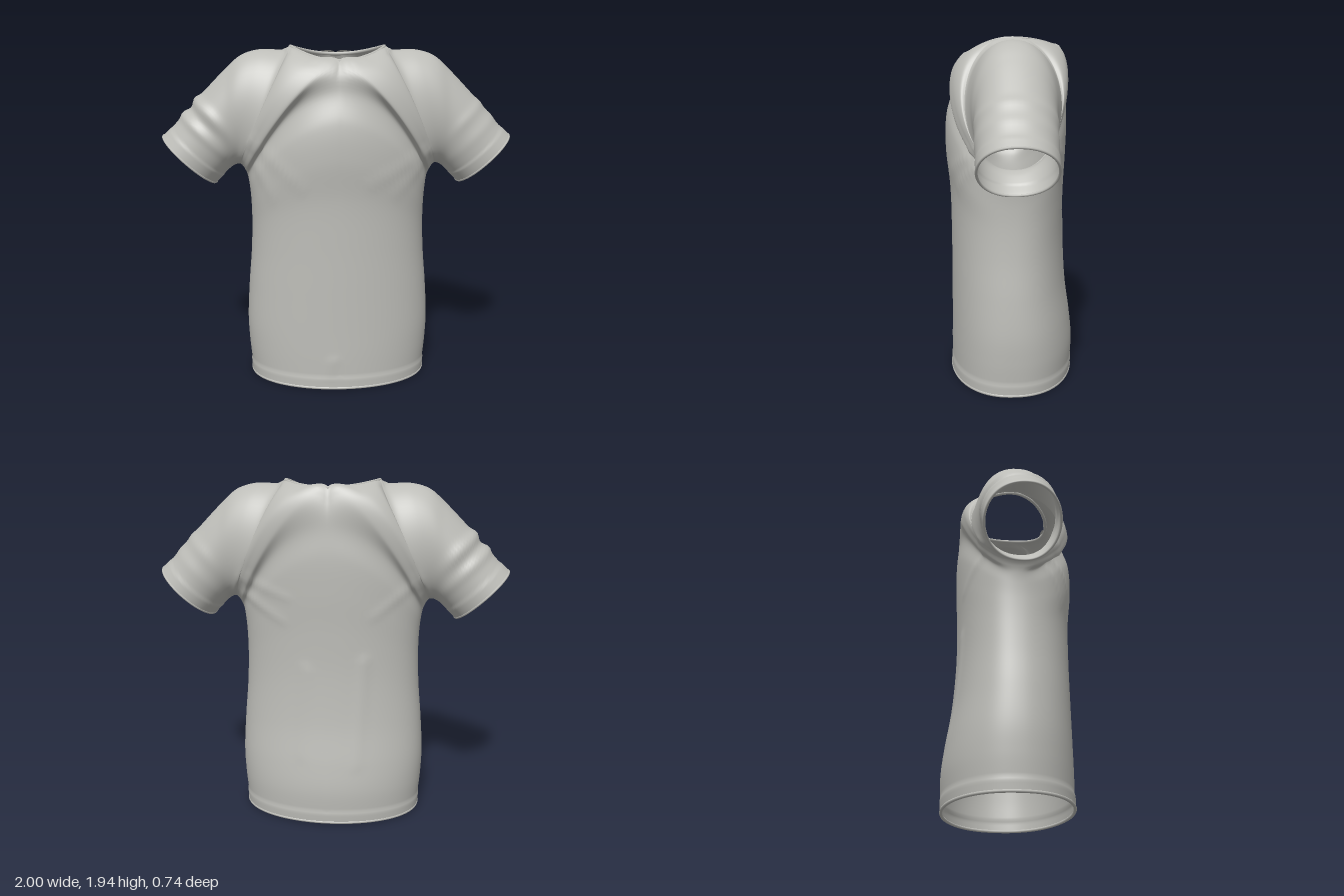
import * as THREE from 'three';
import { mergeVertices } from 'three/addons/utils/BufferGeometryUtils.js';

const STEPS = 8, COLS = 28;

// Torso rows: half width, side height, centre height, front depth, back depth
const TORSO = [
  [.52, .01, .01, .35, .36], [.525, .07, .07, .35, .365], [.537, .2, .2, .35, .37],
  [.542, .35, .35, .348, .355], [.53, .55, .58, .346, .322], [.512, .75, .85, .345, .305],
  [.504, .92, 1.1, .35, .307], [.505, 1.05, 1.33, .372, .318], [.512, 1.14, 1.52, .365, .322],
  [.522, 1.2, 1.7, .318, .312],
];
// Yoke rows: armpit x and y, front depth, back depth, angle round the neck
const YOKE = [
  [.534, 1.235, .335, .31, 0], [.547, 1.256, .31, .295, 30],
  [.558, 1.267, .275, .27, 60], [.567, 1.27, .25, .255, 90],
];
// Sleeve rows: underside x and y, top x and y, front depth, back depth
const SLEEVE = [
  [.567, 1.27, .265, 1.93, .25, .255], [.573, 1.27, .31, 1.912, .24, .25],
  [.585, 1.267, .43, 1.915, .222, .235], [.6, 1.26, .54, 1.885, .21, .222],
  [.615, 1.25, .63, 1.81, .2, .215], [.635, 1.232, .74, 1.7, .197, .212],
  [.66, 1.208, .84, 1.595, .195, .21], [.69, 1.18, .935, 1.49, .19, .207],
  [.706, 1.163, .994, 1.433, .187, .205],
];

// Neck edge: a = 0 at the centre, PI/2 at the shoulder
function neckPoint(a, front) {
  const low = front ? 1.85 : 1.89;
  return [.265 * Math.sin(a), low + (1.93 - low) * Math.sin(a) ** 2, (front ? .24 : .26) * Math.cos(a)];
}

// Rows as [side x, side y, end x, end y, depth, sweep angle]
function bodyKeys(front) {
  const k = front ? 0 : 1;
  const torso = TORSO.map(r => [r[0], r[1], 0, r[2], r[3 + k], Math.PI / 2]);
  const yoke = YOKE.map(r => {
    const [x, y, z] = neckPoint(r[4] * Math.PI / 180, front), d = r[2 + k];
    const ratio = Math.max(0, z / d);
    return [r[0], r[1], x, y, d, Math.PI - Math.asin(ratio < 1e-9 ? 0 : ratio ** (1 / .9))];
  });
  return [...torso, ...yoke];
}
function sleeveKeys(front) {
  return SLEEVE.map(r => [r[0], r[1], r[2], r[3], r[front ? 4 : 5], Math.PI]);
}

// Smooth rows between the key rows
function splineRows(keys) {
  const rows = [], last = keys.length - 1;
  for (let n = 0; n <= last * STEPS; n++) {
    const i = Math.min(Math.floor(n / STEPS), last - 1), t = n / STEPS - i;
    const b = keys[i], c = keys[i + 1], a = keys[i - 1] ?? b, d = keys[i + 2] ?? c;
    rows.push(b.map((p, q) => p + .5 * t * (c[q] - a[q] + t * (2 * a[q] - 5 * p + 4 * c[q] - d[q]
      + t * (3 * (p - c[q]) + d[q] - a[q])))));
  }
  return rows;
}
function allRows(front) {
  return [...splineRows(bodyKeys(front)), ...splineRows(sleeveKeys(front)).slice(1)];
}

// Point on a row: v = 0 at the side seam, 1 at the centre, neck or sleeve top
function rowPoint([ax, ay, bx, by, depth, sweep], v, front) {
  const phi = Math.min(sweep, Math.PI);
  const t = (1 - Math.cos(phi * v)) / (1 - Math.cos(phi));
  const e = 1 + Math.max(0, Math.PI - phi) / (Math.PI / 2);
  const z = depth * Math.max(0, Math.sin(phi * v)) ** .9;
  const drop = Math.max(0, 1 - t) ** e;
  return new THREE.Vector3(Math.max(0, ax + (bx - ax) * t), by - (by - ay) * drop, front ? z : -z);
}
// Whole row, from the front round the side seam to the back
function rowLoop(frontRow, backRow) {
  const pts = [];
  for (let j = -COLS; j <= COLS; j++) {
    pts.push(rowPoint(j <= 0 ? frontRow : backRow, Math.abs(j) / COLS, j <= 0));
  }
  return pts;
}

const step = (x, a, b) => THREE.MathUtils.smoothstep(x, a, b);
const bump = (x, w) => Math.exp(-(x * x) / (w * w));

// Cloth creases: start x, y, end x, y, width, height, face (1 front, -1 back)
const CREASES = [
  [.5, 1.36, .16, 1.19, .022, .009, 1], [.48, 1.3, .3, 1.13, .02, .008, 1],
  [-.48, 1.42, -.2, 1.17, .022, .009, 1], [-.46, 1.28, -.36, 1.1, .02, .006, 1],
  [.5, 1.4, .22, 1.3, .022, .008, -1], [.48, 1.3, .25, 1.17, .022, .008, -1],
  [-.5, 1.4, -.25, 1.2, .022, .008, -1], [-.2, .95, -.17, .35, .03, .007, -1],
  [.12, .9, .15, .4, .03, .006, -1], [-.04, .17, -.05, .09, .03, .006, 1],
];
function relief(p) {
  let h = .005 * (1 - step(p.y, .065, .08));
  // Distance along the sleeve, zero at the cuff
  const u = Math.abs(p.x) * .68 - p.y * .73 + .364, onSleeve = step(Math.abs(p.x), .56, .7);
  h += .004 * step(u, -.08, -.065) * onSleeve;
  const top = .4 + .6 * step(p.y, 1.35, 1.6);
  if (p.x < 0) h += onSleeve * top * (.014 * bump(u + .29, .03) + .012 * bump(u + .18, .025) - .008 * bump(u + .235, .025));
  else h += onSleeve * top * (.006 * bump(u + .27, .03) + .005 * bump(u + .16, .03));
  // Collar band
  if (p.y > 1.75) h += .005 * (1 - step(Math.hypot(p.x / .265, p.z / .25), 1.12, 1.18));
  for (const [x0, y0, x1, y1, w, amp, face] of CREASES) {
    if (p.z * face <= .03) continue;
    const dx = x1 - x0, dy = y1 - y0;
    const t = THREE.MathUtils.clamp(((p.x - x0) * dx + (p.y - y0) * dy) / (dx * dx + dy * dy), 0, 1);
    const dist = Math.hypot(p.x - x0 - t * dx, p.y - y0 - t * dy);
    h += amp * (1 - .6 * t) * bump(dist, w) * step(p.z * face, .03, .1);
  }
  return h;
}

// Single skin of body, shoulders and both sleeves
function shirtGeometry(loops) {
  const pos = [], idx = [], n = 2 * COLS + 1;
  for (const side of [1, -1]) {
    const base = pos.length / 3;
    for (const loop of loops) for (const p of loop) pos.push(p.x * side, p.y, p.z);
    for (let i = 0; i < loops.length - 1; i++) {
      for (let j = 0; j < n - 1; j++) {
        const a = base + i * n + j, b = a + 1, c = a + n, d = c + 1;
        if (side > 0) idx.push(a, b, c, b, d, c);
        else idx.push(a, c, b, b, c, d);
      }
    }
  }
  let geo = new THREE.BufferGeometry();
  geo.setAttribute('position', new THREE.Float32BufferAttribute(pos, 3));
  geo.setIndex(idx);
  geo = mergeVertices(geo, 1e-4);
  geo.computeVertexNormals();
  const P = geo.attributes.position, N = geo.attributes.normal;
  const p = new THREE.Vector3(), nrm = new THREE.Vector3();
  for (let i = 0; i < P.count; i++) {
    p.fromBufferAttribute(P, i);
    nrm.fromBufferAttribute(N, i);
    p.addScaledVector(nrm, relief(p));
    P.setXYZ(i, p.x, p.y, p.z);
  }
  geo.computeVertexNormals();
  return geo;
}

export function createModel() {
  const group = new THREE.Group();
  const cloth = new THREE.MeshStandardMaterial({ color: 0xbdbdb8, side: THREE.DoubleSide });
  cloth.name = 'grey cloth';
  const add = (name, geo) => {
    const mesh = new THREE.Mesh(geo, cloth);
    mesh.name = name;
    group.add(mesh);
  };
  const frontRows = allRows(true), backRows = allRows(false);
  const loops = frontRows.map((r, i) => rowLoop(r, backRows[i]));
  add('shirtBody', shirtGeometry(loops));

  // Rolled edges
  const edge = (name, pts, r) => add(name,
    new THREE.TubeGeometry(new THREE.CatmullRomCurve3(pts, true), 96, r, 8, true));
  const mirror = p => new THREE.Vector3(-p.x, p.y, p.z);
  const hem = loops[0];
  edge('hemEdge', [...hem, ...hem.slice(1, -1).reverse().map(mirror)], .009);
  const cuff = loops[loops.length - 1].slice(0, -1);
  edge('leftCuffEdge', cuff, .007);
  edge('rightCuffEdge', cuff.map(mirror), .007);
  const neck = [];
  for (let i = 0; i < 48; i++) {
    const a = i / 48 * Math.PI * 2, front = Math.cos(a) >= 0;
    const [x, y, z] = neckPoint(Math.asin(Math.abs(Math.sin(a))), front);
    neck.push(new THREE.Vector3(Math.sign(Math.sin(a)) * x, y, front ? z : -z));
  }
  edge('collarEdge', neck, .01);
  return group;
}
